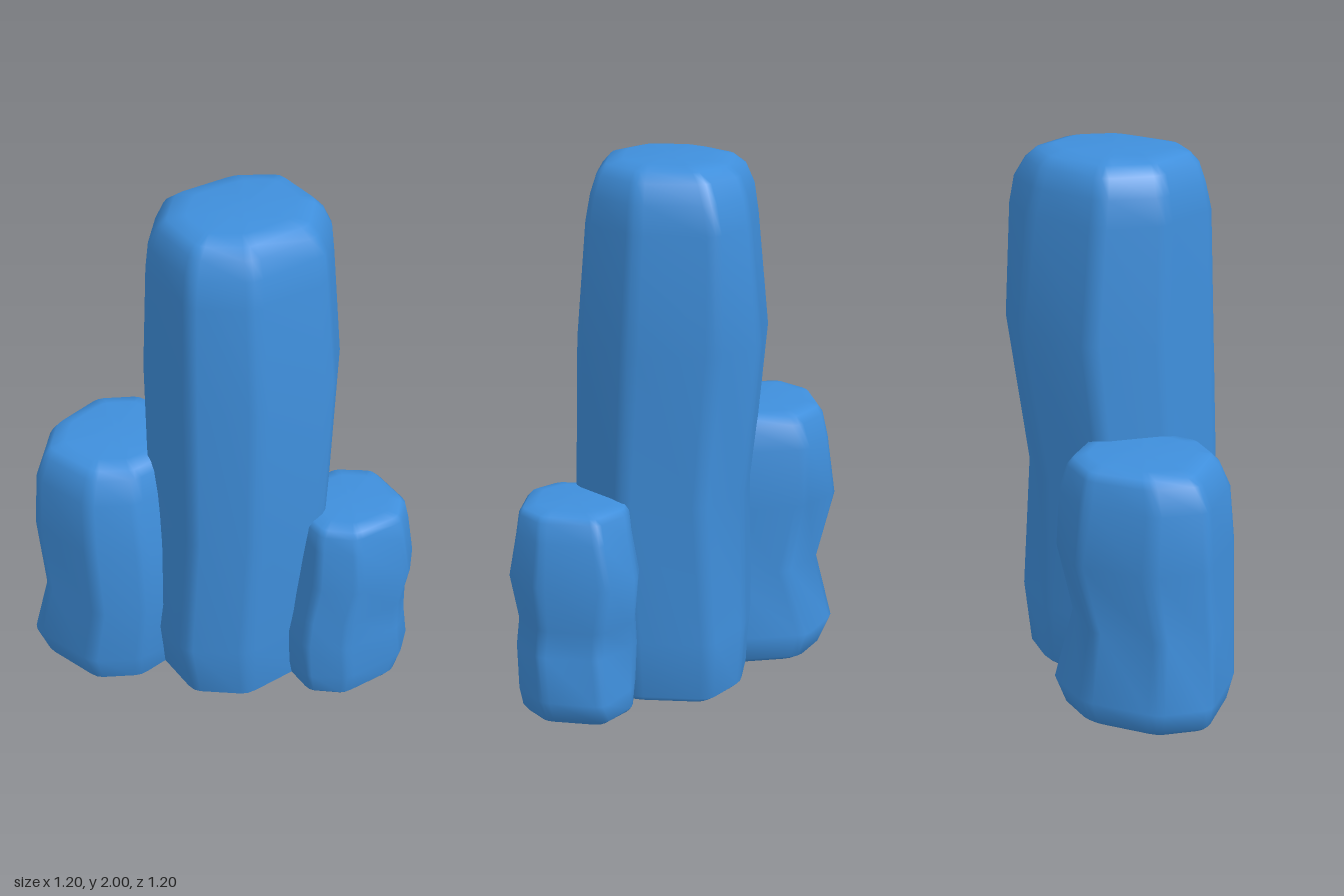
import * as THREE from 'three';

// Small repeatable wobble so the rock facets are not perfectly regular
const wobble = (i, j, k) => Math.sin(i * 12.9 + j * 4.7 + k * 7.3);

// Replace each corner of the outline with a short rounded bend
function roundCorners(corners, amount) {
  const points = [];
  const n = corners.length;
  corners.forEach((corner, i) => {
    const start = corner.clone().lerp(corners[(i + n - 1) % n], amount);
    const end = corner.clone().lerp(corners[(i + 1) % n], amount);
    const bend = new THREE.QuadraticBezierCurve(start, corner, end);
    points.push(start, bend.getPoint(0.5), end);
  });
  return points;
}

// Stack eight-sided cross-sections; rows are [y, minX, maxX, minZ, maxZ]
function makePillar(name, outline, rows, material) {
  const positions = [];
  const indices = [];
  let count = 0;
  rows.forEach(([y, x0, x1, z0, z1], row) => {
    const w = row === 0 || row > rows.length - 4 ? 0 : 0.012;
    const corners = outline.map(([x, z], i) => new THREE.Vector2(
      x + w * wobble(i, row, 1), z + w * wobble(i, row, 2)));
    const ring = roundCorners(corners, 0.13);
    const box = new THREE.Box2().setFromPoints(ring);
    count = ring.length;
    ring.forEach((p) => positions.push(
      THREE.MathUtils.mapLinear(p.x, box.min.x, box.max.x, x0, x1), y,
      THREE.MathUtils.mapLinear(p.y, box.min.y, box.max.y, z0, z1)));
  });

  // Side faces
  for (let row = 0; row < rows.length - 1; row++) {
    for (let i = 0; i < count; i++) {
      const a = row * count + i;
      const b = row * count + (i + 1) % count;
      indices.push(a, a + count, b + count, a, b + count, b);
    }
  }

  // Top cap shares the rim for a soft edge; the base has its own rim
  const last = rows.length - 1;
  const addCentre = ([y, x0, x1, z0, z1]) => {
    positions.push((x0 + x1) / 2, y, (z0 + z1) / 2);
    return positions.length / 3 - 1;
  };
  const top = addCentre(rows[last]);
  const bottom = addCentre(rows[0]);
  const rim = positions.length / 3;
  positions.push(...positions.slice(0, count * 3));
  for (let i = 0; i < count; i++) {
    const next = (i + 1) % count;
    indices.push(top, last * count + next, last * count + i);
    indices.push(bottom, rim + i, rim + next);
  }

  const geometry = new THREE.BufferGeometry();
  geometry.setAttribute('position', new THREE.Float32BufferAttribute(positions, 3));
  geometry.setIndex(indices);
  geometry.computeVertexNormals();
  const mesh = new THREE.Mesh(geometry, material);
  mesh.name = name;
  return mesh;
}

export function createModel() {
  const group = new THREE.Group();
  group.name = 'rockPillars';
  const blue = new THREE.MeshStandardMaterial({ color: 0x3f8fdc });
  blue.name = 'blue rock';

  // Tall central pillar
  group.add(makePillar('tallPillar',
    [[-0.14, -0.44], [0.18, -0.42], [0.37, -0.23], [0.35, 0.12],
      [0.18, 0.3], [-0.14, 0.27], [-0.33, 0.08], [-0.29, -0.26]],
    [
      [0, -0.25, 0.31, -0.35, 0.24],
      [0.02, -0.27, 0.33, -0.37, 0.265],
      [0.25, -0.29, 0.342, -0.4, 0.305],
      [0.78, -0.28, 0.372, -0.385, 0.282],
      [1.36, -0.33, 0.357, -0.443, 0.272],
      [1.78, -0.29, 0.323, -0.42, 0.262],
      [1.88, -0.275, 0.305, -0.408, 0.245],
      [1.95, -0.245, 0.282, -0.37, 0.222],
      [1.985, -0.2, 0.25, -0.335, 0.19],
      [2, -0.13, 0.19, -0.28, 0.13],
    ], blue));

  // Medium pillar at the front
  group.add(makePillar('frontPillar',
    [[-0.48, -0.02], [-0.18, -0.07], [0, 0.09], [0.015, 0.38],
      [-0.1, 0.54], [-0.4, 0.6], [-0.55, 0.45], [-0.6, 0.16]],
    [
      [0, -0.53, -0.05, -0.01, 0.545],
      [0.02, -0.555, -0.03, -0.03, 0.565],
      [0.12, -0.6, -0.015, -0.06, 0.6],
      [0.37, -0.537, 0.015, -0.03, 0.57],
      [0.65, -0.6, -0.002, -0.06, 0.575],
      [0.87, -0.57, -0.035, -0.035, 0.562],
      [0.96, -0.55, -0.062, -0.015, 0.525],
      [0.988, -0.53, -0.085, 0.01, 0.495],
      [1, -0.48, -0.14, 0.06, 0.44],
    ], blue));

  // Short pillar at the back
  group.add(makePillar('backPillar',
    [[0.26, -0.6], [0.5, -0.565], [0.6, -0.44], [0.575, -0.18],
      [0.46, -0.065], [0.24, -0.09], [0.14, -0.22], [0.14, -0.45]],
    [
      [0, 0.17, 0.55, -0.54, -0.105],
      [0.02, 0.16, 0.565, -0.56, -0.09],
      [0.1, 0.15, 0.575, -0.6, -0.075],
      [0.26, 0.145, 0.582, -0.558, -0.063],
      [0.37, 0.15, 0.57, -0.57, -0.078],
      [0.54, 0.135, 0.6, -0.586, -0.095],
      [0.7, 0.16, 0.572, -0.56, -0.115],
      [0.77, 0.17, 0.562, -0.54, -0.123],
      [0.79, 0.185, 0.545, -0.52, -0.145],
      [0.8, 0.23, 0.5, -0.475, -0.195],
    ], blue));

  return group;
}
